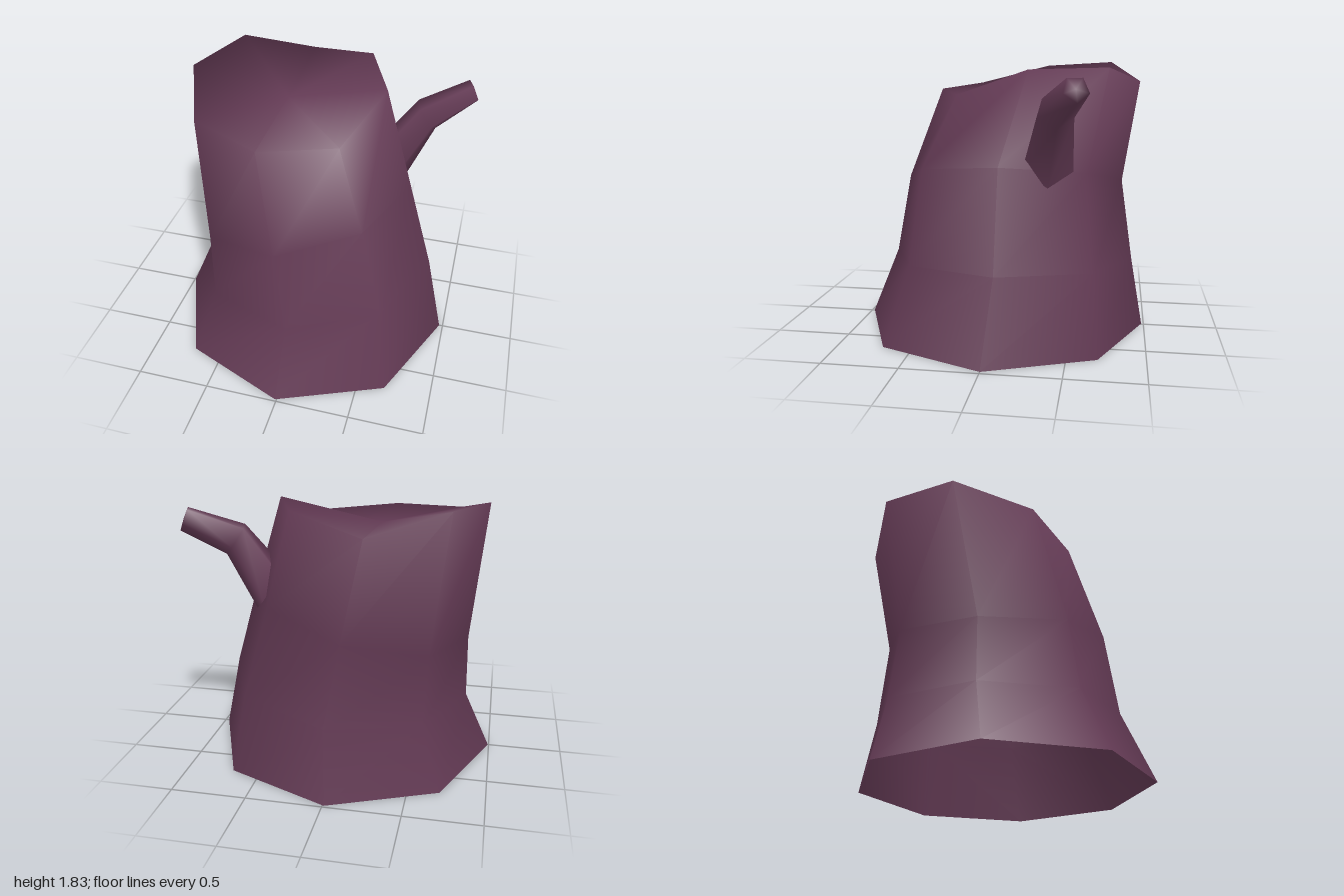
import * as THREE from 'three';

// Skin equal-sized rings of points, bottom to top, and close the last ring with a fan to tip.
function skin(rings, tip) {
  const n = rings[0].length;
  const points = [...rings.flat(), tip];
  const index = [];
  rings.forEach((ring, i) => {
    for (let j = 0; j < n; j++) {
      const a = i * n + j, b = i * n + (j + 1) % n;
      if (i < rings.length - 1) index.push(a, a + n, b, b, a + n, b + n);
      else index.push(a, points.length - 1, b);
    }
  });
  const geo = new THREE.BufferGeometry().setFromPoints(points);
  geo.setIndex(index);
  geo.computeVertexNormals();
  return geo;
}

export function createModel() {
  const group = new THREE.Group();
  const bark = new THREE.MeshStandardMaterial({ color: 0x633a54, side: THREE.DoubleSide });
  bark.name = 'plum bark';

  // Trunk: leaning eight-sided rings, each tilted along x; the last has a jagged rim
  const rimHeights = [1.79, 1.62, 1.64, 1.67, 1.8, 1.83, 1.7, 1.8];
  const trunkRings = [
    { x: -0.01, z: 0, rx: 0.985, rz: 0.985, y: 0, tilt: 0 },
    { x: 0.01, z: -0.06, rx: 0.83, rz: 0.84, y: 0.485, tilt: 0.08 },
    { x: -0.08, z: -0.06, rx: 0.735, rz: 0.76, y: 1.02, tilt: 0.24 },
    { x: -0.24, z: -0.22, rx: 0.675, rz: 0.71, heights: rimHeights },
  ].map(r => rimHeights.map((_, j) => {
    const a = j * Math.PI / 4, dx = r.rx * Math.cos(a);
    const y = r.heights ? r.heights[j] : r.y + r.tilt * dx;
    return new THREE.Vector3(r.x + dx, y, r.z + r.rz * Math.sin(a));
  }));
  const trunk = new THREE.Mesh(skin(trunkRings, new THREE.Vector3(-0.24, 1.65, -0.22)), bark);
  trunk.name = 'trunk';
  group.add(trunk);

  // Branch stub: bent, tapering five-sided limb
  const branchRings = [
    { c: [0.48, 1.2, -0.35], d: [0.8, 0.58, -0.1], r: 0.17 },
    { c: [0.684, 1.54, -0.41], d: [0.8, 0.55, -0.2], r: 0.12 },
    { c: [0.97, 1.69, -0.55], d: [0.87, 0.36, -0.33], r: 0.082 },
  ].map(({ c, d, r }) => {
    const dir = new THREE.Vector3(...d).normalize();
    const down = new THREE.Vector3(0, -1, 0).addScaledVector(dir, dir.y).normalize();
    const side = down.clone().cross(dir);
    return Array.from({ length: 5 }, (_, j) => {
      const a = j * Math.PI * 2 / 5;
      return new THREE.Vector3(...c)
        .addScaledVector(down, r * Math.cos(a))
        .addScaledVector(side, r * Math.sin(a));
    });
  });
  const branch = new THREE.Mesh(skin(branchRings, new THREE.Vector3(0.975, 1.69, -0.55)), bark);
  branch.name = 'branch';
  group.add(branch);

  return group;
}
